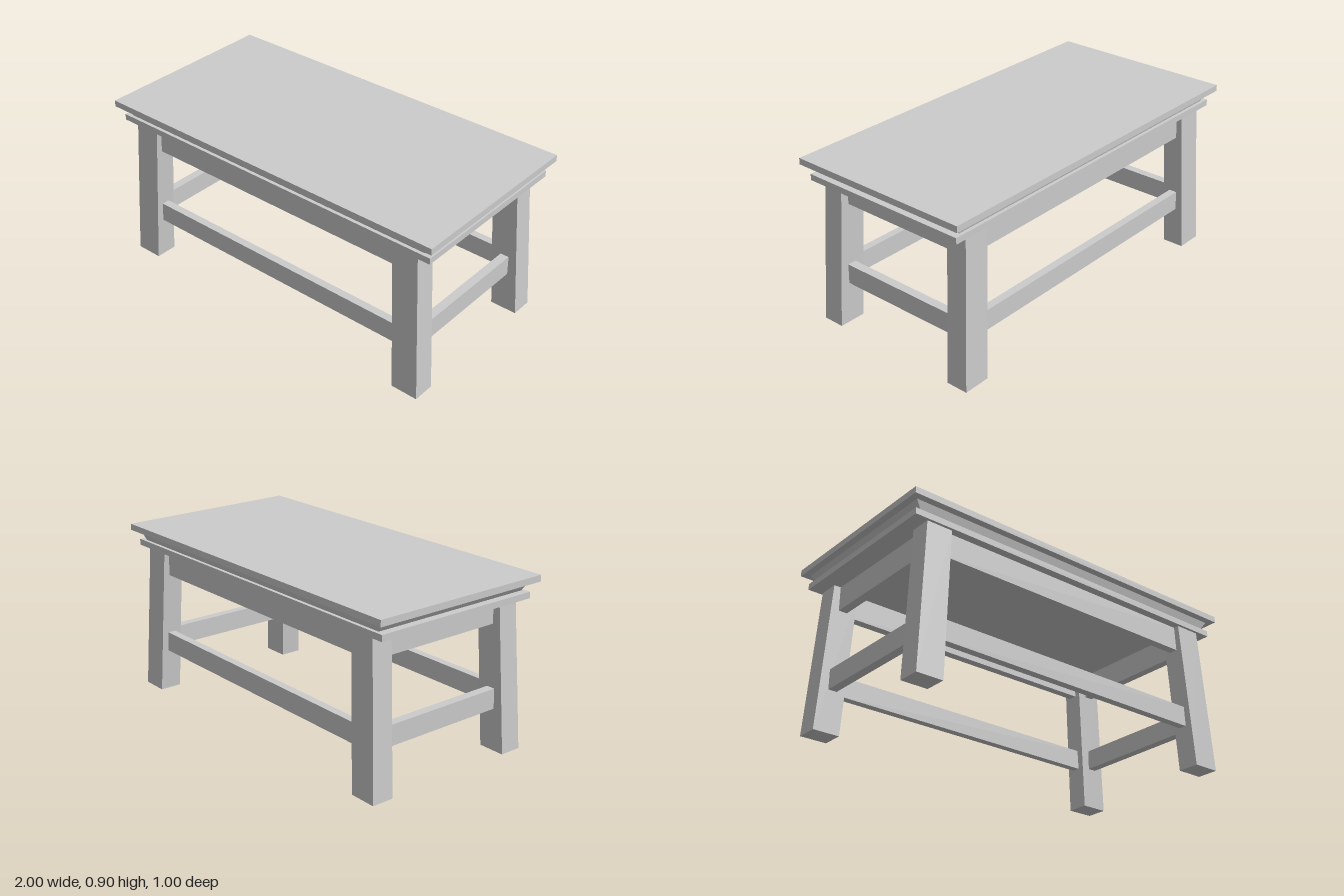
import * as THREE from 'three';

const material = new THREE.MeshStandardMaterial({ color: 0xcccccc, flatShading: true });

// Box given by its limits on each axis
function box(name, [x0, x1], [y0, y1], [z0, z1]) {
  const mesh = new THREE.Mesh(new THREE.BoxGeometry(x1 - x0, y1 - y0, z1 - z0), material);
  mesh.position.set((x0 + x1) / 2, (y0 + y1) / 2, (z0 + z1) / 2);
  mesh.name = name;
  return mesh;
}

// Six-sided block whose bottom and top rectangles differ: { x: [min, max], z: [min, max] }
function taperedBlock(name, y0, y1, bottom, top) {
  const geometry = new THREE.BoxGeometry(1, 1, 1);
  const p = geometry.attributes.position;
  for (let i = 0; i < p.count; i++) {
    const end = p.getY(i) > 0 ? top : bottom;
    p.setXYZ(i, end.x[p.getX(i) > 0 ? 1 : 0], p.getY(i) > 0 ? y1 : y0, end.z[p.getZ(i) > 0 ? 1 : 0]);
  }
  geometry.computeVertexNormals();
  const mesh = new THREE.Mesh(geometry, material);
  mesh.name = name;
  return mesh;
}

// Range mirrored to the other side when s is -1
const side = (s, a, b) => (s > 0 ? [a, b] : [-b, -a]);

export function createModel() {
  const group = new THREE.Group();
  group.name = 'table';

  // Top board, sloped moulding and lower board
  group.add(box('tabletop', [-1, 1], [0.867, 0.9], [-0.5, 0.5]));
  group.add(taperedBlock('moulding', 0.817, 0.867,
    { x: [-0.93, 0.93], z: [-0.447, 0.447] },
    { x: [-0.965, 0.965], z: [-0.462, 0.462] }));
  group.add(box('lowerBoard', [-0.97, 0.97], [0.785, 0.817], [-0.465, 0.465]));

  // Splayed legs, slightly narrower at the top
  for (const sx of [-1, 1]) {
    for (const sz of [-1, 1]) {
      const name = (sz > 0 ? 'front' : 'back') + (sx > 0 ? 'Left' : 'Right') + 'Leg';
      group.add(taperedBlock(name, 0, 0.785,
        { x: side(sx, 0.8, 0.945), z: side(sz, 0.36, 0.477) },
        { x: side(sx, 0.755, 0.895), z: side(sz, 0.34, 0.45) }));
    }
  }

  // Aprons and stretchers, with their ends let into the legs
  for (const s of [-1, 1]) {
    const end = s > 0 ? 'front' : 'back';
    const flank = s > 0 ? 'left' : 'right';
    group.add(box(end + 'Apron', [-0.79, 0.79], [0.655, 0.785], side(s, 0.375, 0.421)));
    group.add(box(flank + 'Apron', side(s, 0.811, 0.858), [0.655, 0.785], [-0.37, 0.37]));
    group.add(box(end + 'Stretcher', [-0.81, 0.81], [0.222, 0.328], side(s, 0.389, 0.431)));
    group.add(box(flank + 'Stretcher', side(s, 0.833, 0.88), [0.222, 0.328], [-0.38, 0.38]));
  }

  return group;
}
